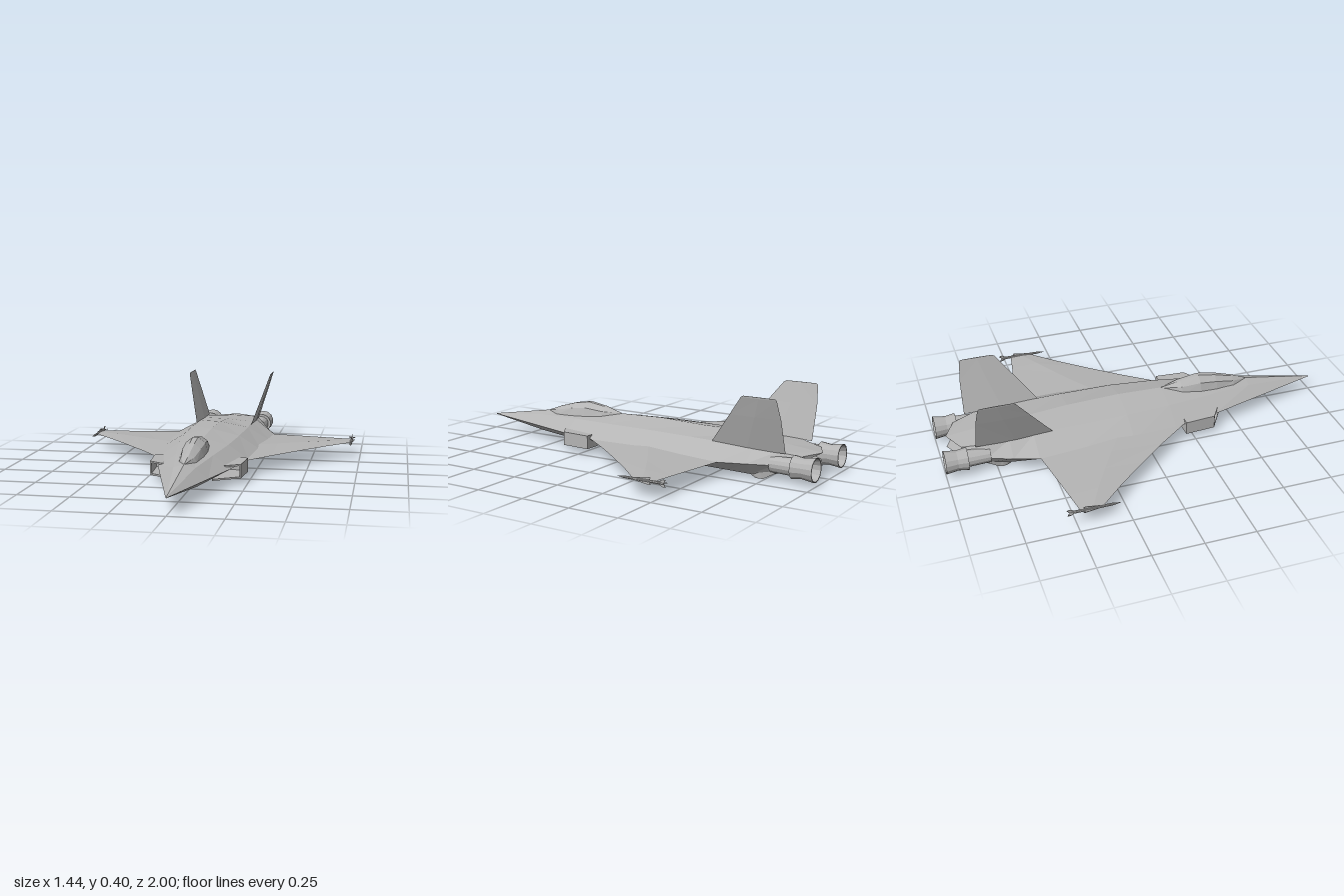
import * as THREE from 'three';

const MID = 0.082; // height of the wing plane

// Closed skin through rings of [x, y, z] points, wound outwards
function loft(rings) {
  const n = rings[0].length, pts = rings.flat(), tris = [];
  for (let i = 0; i < rings.length - 1; i++) {
    for (let j = 0; j < n; j++) {
      const a = i * n + j, b = i * n + (j + 1) % n;
      tris.push([a, b, b + n], [a, b + n, a + n]);
    }
  }
  const last = (rings.length - 1) * n;
  for (let j = 1; j < n - 1; j++) tris.push([0, j + 1, j], [last, last + j, last + j + 1]);
  const v = pts.map(p => new THREE.Vector3(...p));
  const volume = tris.reduce((s, [a, b, c]) => s + v[a].dot(v[b].clone().cross(v[c])), 0);
  const pos = tris.flatMap(([a, b, c]) => (volume > 0 ? [a, b, c] : [a, c, b]).flatMap(k => pts[k]));
  const geo = new THREE.BufferGeometry();
  geo.setAttribute('position', new THREE.Float32BufferAttribute(pos, 3));
  geo.computeVertexNormals();
  return geo;
}

// Copy reflected across x = 0, with corners reordered
function mirror(source) {
  const geo = source.index ? source.toNonIndexed() : source.clone();
  const p = geo.attributes.position;
  for (let i = 0; i < p.count; i += 3) {
    const t = [0, 2, 1].map(k => [-p.getX(i + k), p.getY(i + k), p.getZ(i + k)]);
    t.forEach((c, k) => p.setXYZ(i + k, ...c));
  }
  geo.computeVertexNormals();
  return geo;
}

export function createModel() {
  const model = new THREE.Group();
  model.name = 'jetFighter';
  const grey = new THREE.MeshStandardMaterial({ color: 0xb4b4b4, flatShading: true, side: THREE.DoubleSide });
  grey.name = 'airframe grey';

  const add = (name, geo) => {
    const mesh = new THREE.Mesh(geo, grey);
    mesh.name = name;
    model.add(mesh);
  };
  const pair = (name, geo) => {
    add(name + 'Left', geo);
    add(name + 'Right', mirror(geo));
  };

  // Fuselage: z, half width, top, shoulder x/y, belly x/y, keel, extra z at centre
  const stations = [
    [0.995, 0.002, 0.084, 0.001, 0.083, 0.001, 0.081, 0.08, 0],
    [0.62, 0.11, 0.147, 0.05, 0.13, 0.06, 0.046, 0.036, 0],
    [0.38, 0.178, 0.165, 0.09, 0.142, 0.09, 0.032, 0.018, 0],
    [0.15, 0.225, 0.181, 0.125, 0.15, 0.13, 0.026, 0.011, 0],
    [-0.08, 0.26, 0.188, 0.145, 0.155, 0.15, 0.024, 0.012, 0],
    [-0.35, 0.272, 0.179, 0.15, 0.152, 0.16, 0.024, 0.02, 0],
    [-0.56, 0.268, 0.16, 0.15, 0.147, 0.165, 0.022, 0.026, 0],
    [-0.68, 0.228, 0.15, 0.15, 0.143, 0.165, 0.02, 0.032, 0],
    [-0.80, 0.185, 0.143, 0.145, 0.138, 0.15, 0.035, 0.045, 0],
    [-0.88, 0.155, 0.125, 0.11, 0.122, 0.11, 0.066, 0.062, -0.085],
  ];
  add('fuselage', loft(stations.map(([z, w, top, sx, sy, bx, by, keel, dz]) => [
    [w, MID, z], [sx, sy, z + dz * 0.35], [0, top, z + dz], [-sx, sy, z + dz * 0.35],
    [-w, MID, z], [-bx, by, z + dz * 0.35], [0, keel, z + dz], [bx, by, z + dz * 0.35],
  ])));

  // Canopy: z, half width, base, shoulder height, top
  const canopy = [
    [0.62, 0.004, 0.142, 0.146, 0.148], [0.54, 0.042, 0.138, 0.162, 0.178],
    [0.44, 0.058, 0.138, 0.184, 0.207], [0.35, 0.063, 0.14, 0.195, 0.222],
    [0.25, 0.054, 0.145, 0.186, 0.207], [0.15, 0.004, 0.17, 0.178, 0.182],
  ];
  add('canopy', loft(canopy.map(([z, w, base, mid, top]) => [
    [w, base, z], [w * 0.75, mid, z], [w * 0.2, top, z],
    [-w * 0.2, top, z], [-w * 0.75, mid, z], [-w, base, z],
  ])));

  // Wings: x, leading edge z, trailing edge z, half thickness
  const wing = [
    [0.15, 0.24, -0.57, 0.018], [0.22, 0.19, -0.565, 0.016], [0.33, 0.045, -0.545, 0.012],
    [0.45, -0.10, -0.525, 0.01], [0.58, -0.25, -0.503, 0.008], [0.695, -0.37, -0.485, 0.003],
  ];
  pair('wing', loft(wing.map(([x, le, te, t]) => {
    const m = THREE.MathUtils.lerp(le, te, 0.45);
    return [[x, MID, le], [x, MID + t, m], [x, MID, te], [x, MID - t, m]];
  })));

  // Canted tail fins: height, x, leading edge z, trailing edge z, half thickness
  const fin = [
    [0.135, 0.148, -0.455, -0.845, 0.007], [0.30, 0.2, -0.582, -0.843, 0.005],
    [0.392, 0.228, -0.652, -0.832, 0.003], [0.40, 0.23, -0.665, -0.825, 0.002],
  ];
  pair('tailFin', loft(fin.map(([y, x, le, te, t]) => {
    const m = (le + te) / 2;
    return [[x, y, le], [x + t, y, m], [x, y, te], [x - t, y, m]];
  })));

  // Small strakes under the tail
  pair('ventralStrake', loft([[0.05, -0.62, -0.82, 0.008], [0.004, -0.70, -0.74, 0.004]].map(
    ([y, le, te, t]) => [[0.16, y, le], [0.16 + t, y, -0.72], [0.16, y, te], [0.16 - t, y, -0.72]])));

  // Air intakes: channel section with raked lips, closed at the back
  const section = [[0.1, 0.1], [0.232, 0.1], [0.232, 0.032], [0.1, 0.032],
    [0.1, 0.04], [0.224, 0.04], [0.224, 0.092], [0.1, 0.092]];
  const intake = new THREE.ExtrudeGeometry(
    new THREE.Shape(section.map(p => new THREE.Vector2(...p))), { depth: 0.15, bevelEnabled: false });
  const ip = intake.attributes.position;
  for (let i = 0; i < ip.count; i++) {
    const x = ip.getX(i), front = ip.getZ(i) > 0.1;
    ip.setXYZ(i, front ? x * 0.95 : x, ip.getY(i), front ? 0.36 + (0.232 - x) * 0.6 : 0.205);
  }
  intake.computeVertexNormals();
  pair('intake', intake);
  pair('intakeBackWall', new THREE.BoxGeometry(0.13, 0.066, 0.008).translate(0.166, 0.066, 0.209));

  // Engine nozzles with a neck and a hollow flared mouth
  const nozzle = new THREE.LatheGeometry([
    [0, 0.78], [0.038, 0.78], [0.042, 0.89], [0.056, 0.89], [0.049, 0.94],
    [0.058, 1.0], [0.053, 1.0], [0.042, 0.93], [0, 0.92],
  ].map(p => new THREE.Vector2(...p)), 14);
  pair('nozzle', nozzle.rotateX(-Math.PI / 2).translate(0.153, 0.081, 0));

  // Wingtip missiles: slim body plus crossed fins
  const missile = new THREE.LatheGeometry([
    [0, 0.29], [0.006, 0.33], [0.007, 0.52], [0, 0.53],
  ].map(p => new THREE.Vector2(...p)), 8);
  pair('tipMissile', missile.rotateX(-Math.PI / 2).translate(0.702, MID, 0));
  for (const [name, le, te, span] of [['missileFrontFin', -0.35, -0.47, 0.017], ['missileRearFin', -0.50, -0.545, 0.017]]) {
    for (const [dir, a] of [['Wide', 0], ['Tall', Math.PI / 2]]) {
      const plate = loft([-0.001, 0.001].map(y => [
        [0, y, le], [span, y, te + 0.015], [span, y, te], [0, y, te + 0.01],
        [-span, y, te], [-span, y, te + 0.015]]));
      pair(name + dir, plate.rotateZ(a).translate(0.702, MID, 0));
    }
  }

  return model;
}
